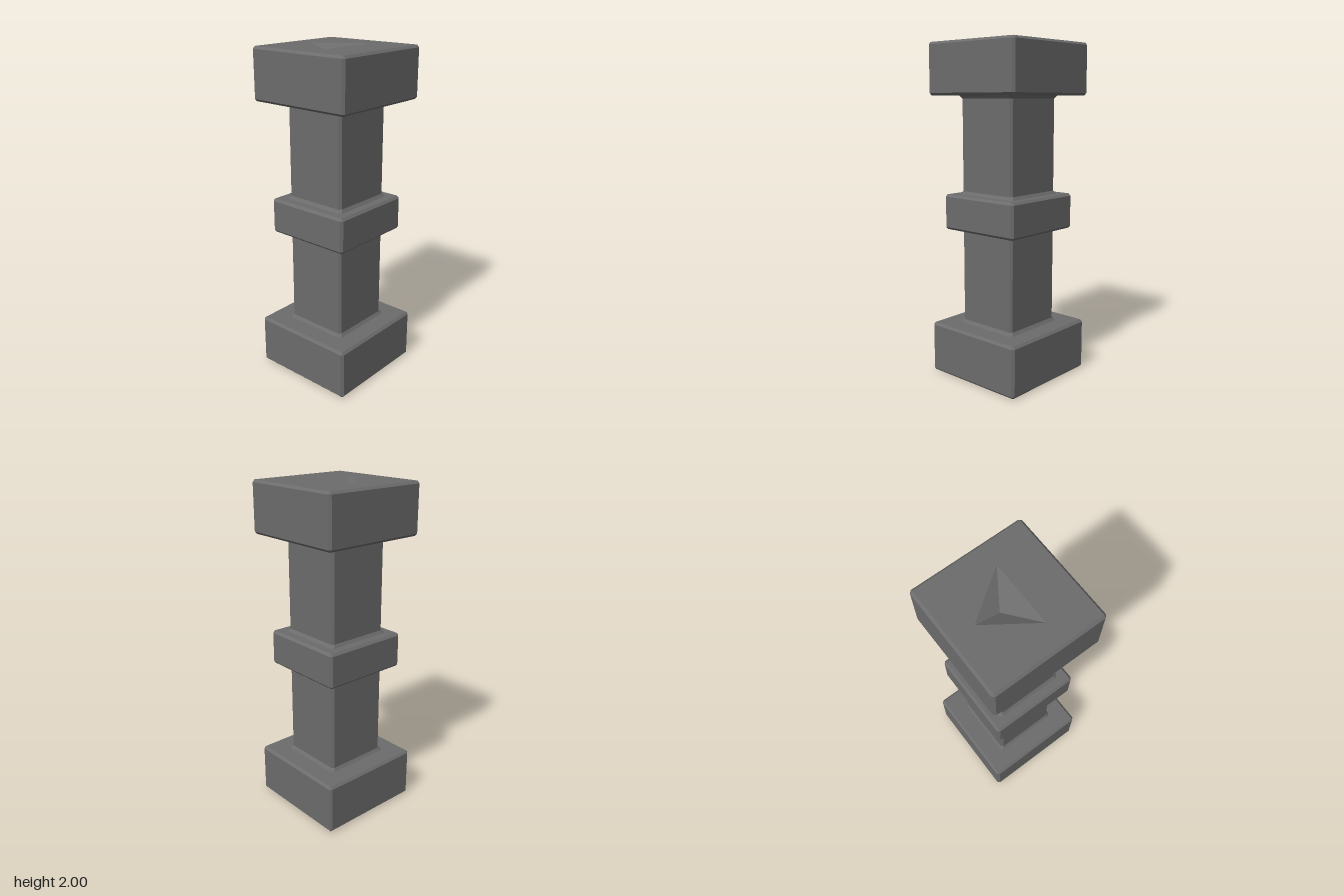
import * as THREE from 'three';

const stone = new THREE.MeshStandardMaterial({ color: 0x6c6c6c, flatShading: true });
stone.name = 'dark grey stone';

const BEVEL = 0.014;

// Square outline of half width h with its corners cut by c (counter-clockwise in x, -z)
function outline(h, c) {
  const k = h - c;
  return [[h, -k], [h, k], [k, h], [-k, h], [-h, k], [-h, -k], [-k, -h], [k, -h]];
}

// Skin rings of [half width, corner cut, y] from the bottom up
function loft(name, rings, capBottom, capTop) {
  const pos = [], index = [];
  for (const [h, c, y] of rings) {
    for (const [x, b] of outline(h, c)) pos.push(x, y, -b);
  }
  for (let r = 0; r < rings.length - 1; r++) {
    for (let i = 0; i < 8; i++) {
      const a = r * 8 + i, b = r * 8 + (i + 1) % 8;
      index.push(a, b, b + 8, a, b + 8, a + 8);
    }
  }
  const last = (rings.length - 1) * 8;
  for (let i = 1; i < 7; i++) {
    if (capBottom) index.push(0, i + 1, i);
    if (capTop) index.push(last, last + i, last + i + 1);
  }
  const geo = new THREE.BufferGeometry();
  geo.setAttribute('position', new THREE.Float32BufferAttribute(pos, 3));
  geo.setIndex(index);
  geo.computeVertexNormals();
  const mesh = new THREE.Mesh(geo, stone);
  mesh.name = name;
  return mesh;
}

// Bevelled block between two heights
const block = (name, h, y0, y1, capTop = true) => loft(name, [
  [h - BEVEL, 0, y0], [h, BEVEL, y0 + BEVEL], [h, BEVEL, y1 - BEVEL], [h - BEVEL, 0, y1],
], true, capTop);

// Shaft with a small flare at both ends
const shaft = (name, y0, y1) => loft(name, [
  [0.212, 0.014, y0], [0.198, 0.014, y0 + 0.018],
  [0.198, 0.014, y1 - 0.018], [0.212, 0.014, y1],
], false, false);

// Top face with a chipped three-sided pit
function chippedTop(h, y) {
  const group = new THREE.Group();
  group.name = 'chippedTop';
  const rim = [[-0.19, 0], [0.08, 0.19], [0.08, -0.19]]; // x, z
  const shape = new THREE.Shape([[-h, -h], [h, -h], [h, h], [-h, h]].map(p => new THREE.Vector2(...p)));
  shape.holes.push(new THREE.Path(rim.map(([x, z]) => new THREE.Vector2(x, -z))));
  const face = new THREE.Mesh(new THREE.ShapeGeometry(shape).rotateX(-Math.PI / 2).translate(0, y, 0), stone);
  face.name = 'topFace';

  const pos = [];
  rim.forEach(([x, z], i) => {
    const [x2, z2] = rim[(i + 1) % 3];
    pos.push(x, y, z, x2, y, z2, -0.045, y - 0.05, 0);
  });
  const geo = new THREE.BufferGeometry();
  geo.setAttribute('position', new THREE.Float32BufferAttribute(pos, 3));
  geo.computeVertexNormals();
  const pit = new THREE.Mesh(geo, stone);
  pit.name = 'chip';
  group.add(face, pit);
  return group;
}

export function createModel() {
  const model = new THREE.Group();
  model.name = 'pillar';
  model.add(
    block('base', 0.333, 0, 0.31),
    shaft('lowerShaft', 0.31, 0.897),
    block('collar', 0.273, 0.897, 1.11),
    shaft('upperShaft', 1.11, 1.695),
    block('capital', 0.333, 1.695, 2, false),
    chippedTop(0.333 - BEVEL, 2),
  );
  return model;
}
